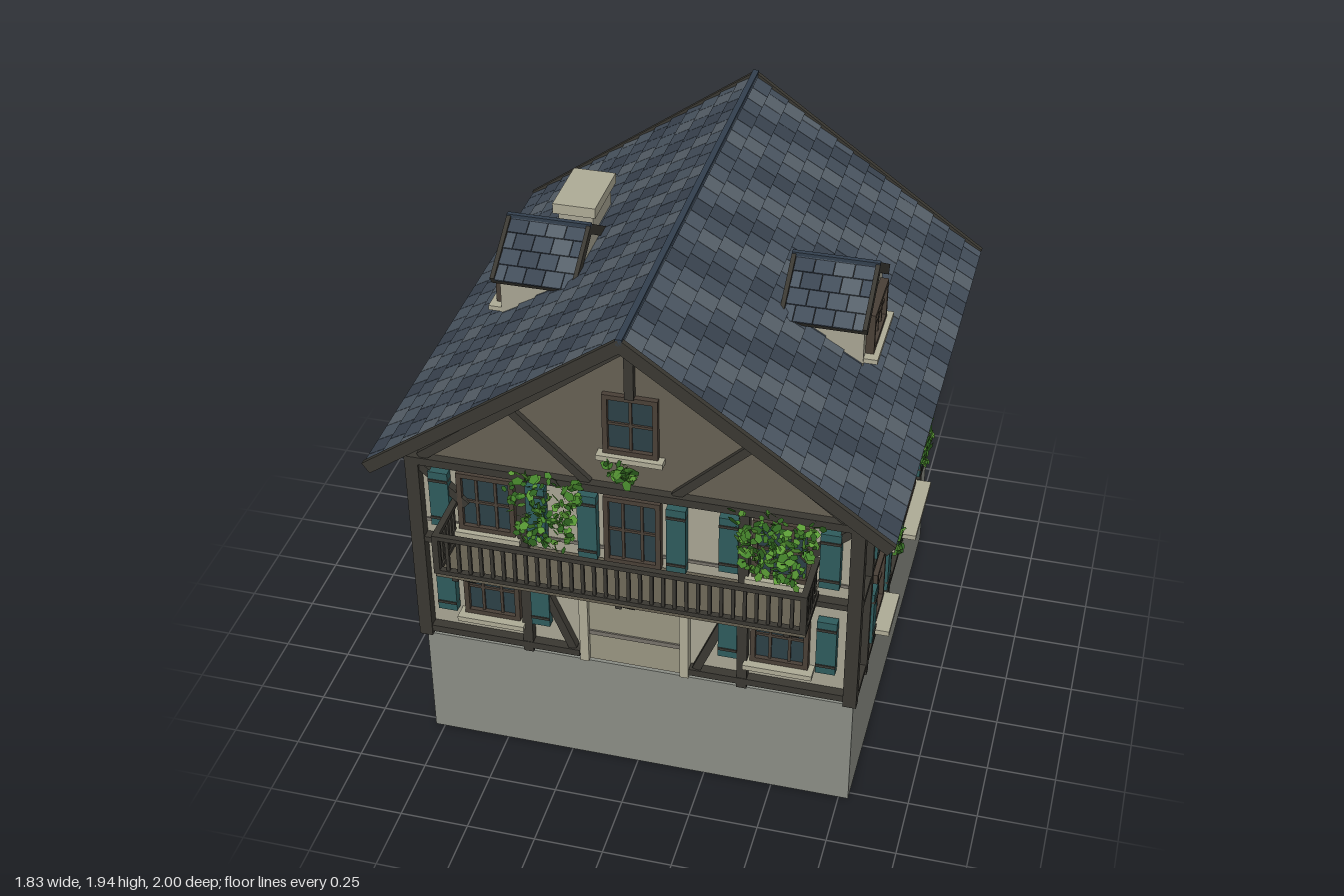
import * as THREE from 'three';
import { mergeGeometries } from 'three/addons/utils/BufferGeometryUtils.js';

const mat = (color, side = THREE.FrontSide) => new THREE.MeshStandardMaterial({ color, side });
const M = {
  stone: mat(0x8b8e86), wall: mat(0xa9a694), trim: mat(0xb0ad98), band: mat(0x77736a),
  timber: mat(0x3a3832), gable: mat(0x676154), floor: mat(0x655f50), door: mat(0x9a9682),
  frame: mat(0x4a4037), glass: mat(0x2c4047), shutter: mat(0x2f5c5d), soffit: mat(0x4b473f),
  ridge: mat(0x33404f),
};
const SHADES = [0x3a4450, 0x424d5a, 0x4b5662, 0x57616a].map((c) => mat(c));
const LEAVES = [0x2f6420, 0x44822a, 0x5a9a35].map((c) => mat(c, THREE.DoubleSide));

let seed = 7;
const rand = () => (seed = (seed * 16807) % 2147483647) / 2147483647;

function add(parent, name, geometry, material, x = 0, y = 0, z = 0) {
  const mesh = new THREE.Mesh(geometry, material);
  mesh.name = name;
  mesh.position.set(x, y, z);
  parent.add(mesh);
  return mesh;
}
function group(parent, name) {
  const g = new THREE.Group();
  g.name = name;
  parent.add(g);
  return g;
}
// Box given by its limits on each axis
const block = (p, name, m, x0, x1, y0, y1, z0, z1) =>
  add(p, name, new THREE.BoxGeometry(x1 - x0, y1 - y0, z1 - z0), m, (x0 + x1) / 2, (y0 + y1) / 2, (z0 + z1) / 2);

// Slanted timber lying on a facade
function brace(p, name, x1, y1, x2, y2, width = 0.03, depth = 0.03) {
  const g = new THREE.BoxGeometry(Math.hypot(x2 - x1, y2 - y1), width, depth);
  add(p, name, g, M.timber, (x1 + x2) / 2, (y1 + y2) / 2, depth / 2).rotation.z = Math.atan2(y2 - y1, x2 - x1);
}
function prism(p, name, points, z0, z1, m) {
  const shape = new THREE.Shape(points.map(([x, y]) => new THREE.Vector2(x, y)));
  add(p, name, new THREE.ExtrudeGeometry(shape, { depth: z1 - z0, bevelEnabled: false }), m, 0, 0, z0);
}

// Facade: local x runs along the wall, local z points outward
function facade(parent, name, angle, distance) {
  const g = group(parent, name);
  g.rotation.y = angle;
  g.position.set(Math.sin(angle) * distance, 0, Math.cos(angle) * distance);
  return g;
}

// Window with glazing bars, sill and optional shutters [x0, x1]
function windowUnit(p, x, y0, y1, w, { cols = 2, sill = 0.08, depth = 0.03, shutters = [] } = {}) {
  const g = group(p, 'window'), h = w / 2, f = 0.018;
  block(g, 'glass', M.glass, x - h + f, x + h - f, y0 + f, y1 - f, 0, depth * 0.45);
  for (const s of [-1, 1]) {
    const e = x + s * (h - f / 2), ey = s > 0 ? y1 - f / 2 : y0 + f / 2;
    block(g, 'windowJamb', M.frame, e - f / 2, e + f / 2, y0, y1, 0, depth);
    block(g, 'windowRail', M.frame, x - h, x + h, ey - f / 2, ey + f / 2, 0, depth);
  }
  for (let i = 1; i < cols; i++) {
    const b = x - h + (w * i) / cols;
    block(g, 'glazingBar', M.frame, b - 0.005, b + 0.005, y0, y1, 0, depth * 0.7);
  }
  const mid = (y0 + y1) / 2;
  block(g, 'glazingBar', M.frame, x - h, x + h, mid - 0.005, mid + 0.005, 0, depth * 0.7);
  if (sill) block(g, 'sill', M.trim, x - h - 0.02, x + h + 0.02, y0 - 0.02, y0, 0, sill);
  for (const [a, b] of shutters) {
    block(g, 'shutter', M.shutter, a, b, y0 + 0.005, y1 - 0.005, 0.005, depth + 0.008);
    for (const y of [y0 + 0.04, y1 - 0.04])
      block(g, 'shutterHinge', M.timber, a, b, y - 0.005, y + 0.005, 0.005, depth + 0.012);
  }
}

// Pitched roof with its ridge along z, staggered shingles and dark verges
function pitchedRoof(parent, name, ridgeY, half, rise, z0, z1, rows, cols, t) {
  const roof = group(parent, name), L = Math.hypot(half, rise), angle = Math.atan2(rise, half);
  for (const s of [1, -1]) {
    const turn = group(roof, 'roofSide'), slope = group(turn, 'roofSlope');
    turn.position.y = ridgeY;
    turn.rotation.y = s > 0 ? 0 : Math.PI;
    slope.rotation.z = -angle;
    const a = s > 0 ? z0 : -z1, b = s > 0 ? z1 : -z0;
    block(slope, 'roofDeck', M.soffit, 0, L - 0.004, -t, -t * 0.35, a + 0.004, b - 0.004);
    const v = t * 0.6;
    block(slope, 'verge', M.timber, 0, L, -t * 1.1, t * 0.3, a, a + v);
    block(slope, 'verge', M.timber, 0, L, -t * 1.1, t * 0.3, b - v, b);
    block(slope, 'eaveBoard', M.timber, L - v * 0.5, L, -t * 1.1, -t * 0.1, a, b);
    // Shingles, merged by shade
    const bins = SHADES.map(() => []), dx = L / rows, dz = (b - a - 2 * v) / cols;
    for (let r = 0; r < rows; r++) for (let c = 0; c <= cols; c++) {
      const lo = Math.max(a + v, a + v + (c - (r % 2) / 2) * dz);
      const hi = Math.min(b - v, a + v + (c + 1 - (r % 2) / 2) * dz);
      if (hi - lo < 0.005) continue;
      const g = new THREE.BoxGeometry(dx * 1.12, t * 0.3, hi - lo - 0.002);
      g.rotateZ(0.09);
      g.translate((r + 0.47) * dx, -t * 0.15, (lo + hi) / 2);
      const wave = 1.5 + 1.3 * Math.sin((c - (r % 2) / 2) * 1.57 + r * 0.8) + (rand() - 0.5) * 1.2;
      bins[Math.min(3, Math.max(0, Math.round(wave)))].push(g);
    }
    bins.forEach((list, i) => list.length && add(slope, 'shingles', mergeGeometries(list), SHADES[i]));
  }
  block(roof, 'ridgeCap', M.ridge, -t * 0.35, t * 0.35, ridgeY - t * 0.4, ridgeY + t * 0.35, z0, z1);
}

// Cluster of small folded leaves inside a box around a centre
function ivy(p, x, y, z, w, h, d, count) {
  const bins = LEAVES.map(() => []);
  for (let i = 0; i < count; i++) {
    const g = new THREE.CircleGeometry(0.008 + rand() * 0.009, 5);
    g.scale(1, 1.35, 1);
    g.rotateX((rand() - 0.5) * 1.8);
    g.rotateY((rand() - 0.5) * 2.2);
    g.rotateZ(rand() * 6.28);
    const k = rand();
    g.translate(x + (rand() - 0.5) * w * (1 - k * 0.45), y + (0.5 - k) * h, z + (rand() - 0.5) * d);
    bins[i % 3].push(g);
  }
  bins.forEach((list, i) => add(p, 'ivyLeaves', mergeGeometries(list), LEAVES[i]));
}

export function createModel() {
  const house = new THREE.Group();
  house.name = 'house';

  // Foundation and walls
  block(house, 'foundation', M.stone, -0.785, 0.785, 0, 0.455, -0.775, 0.78);
  block(house, 'plinth', M.band, -0.76, 0.76, 0.455, 0.48, -0.74, 0.765);
  prism(house, 'walls', [[-0.775, 0.475], [0.775, 0.475], [0.775, 1.345], [0, 1.895], [-0.775, 1.345]], -0.775, 0.775, M.wall);
  block(house, 'floorBand', M.band, -0.78, 0.78, 0.977, 0.99, -0.78, 0.78);

  // Main roof and chimney
  pitchedRoof(house, 'mainRoof', 1.93, 0.908, 0.648, -0.998, 0.912, 14, 22, 0.032);
  block(house, 'chimney', M.wall, -0.535, -0.405, 1.45, 1.72, -0.39, -0.16);
  block(house, 'chimneyCap', M.trim, -0.55, -0.39, 1.72, 1.76, -0.41, -0.14);

  // Front timber frame
  const front = facade(house, 'frontFacade', 0, 0.775);
  block(front, 'tieBeam', M.timber, -0.8, 0.8, 1.245, 1.275, 0, 0.042);
  block(front, 'floorBeam', M.timber, -0.8, 0.8, 0.905, 0.928, 0, 0.036);
  prism(front, 'gablePanel', [[-0.73, 1.27], [0.73, 1.27], [0, 1.84]], 0, 0.01, M.gable);
  block(front, 'kingPost', M.timber, -0.016, 0.016, 1.64, 1.85, 0, 0.034);
  for (const s of [-1, 1]) {
    block(front, 'cornerPost', M.timber, s * 0.776 - 0.024, s * 0.776 + 0.024, 0.475, 1.27, 0, 0.04);
    block(front, 'post', M.timber, s * 0.39 - 0.018, s * 0.39 + 0.018, 0.475, 1.27, 0, 0.034);
    block(front, 'sillBeam', M.timber, s * 0.5 - 0.3, s * 0.5 + 0.3, 0.493, 0.52, 0, 0.036);
    brace(front, 'doorBrace', s * 0.385, 0.91, s * 0.225, 0.52);
    brace(front, 'upperBrace', s * 0.76, 1.24, s * 0.59, 1.09);
    brace(front, 'gableRafter', s * 0.745, 1.275, 0, 1.85, 0.034, 0.036);
    brace(front, 'gableBrace', s * 0.42, 1.525, s * 0.15, 1.27);
    // Front windows
    const out = s > 0 ? [0.65, 0.72] : [-0.72, -0.65], inn = s > 0 ? [0.305, 0.372] : [-0.372, -0.305];
    windowUnit(front, s * 0.52, 0.605, 0.845, 0.205, { cols: 3, sill: 0.06, shutters: [out, inn] });
    windowUnit(front, s * 0.52, 0.985, 1.225, 0.205, { cols: 3, sill: 0.05, shutters: [out, inn] });
  }
  windowUnit(front, 0, 0.945, 1.225, 0.2, { cols: 3, sill: 0, shutters: [[-0.19, -0.122], [0.122, 0.19]] });
  windowUnit(front, 0, 1.41, 1.645, 0.19, { sill: 0.05 });

  // Double door with surround
  block(front, 'door', M.door, -0.17, 0.17, 0.475, 0.885, 0, 0.014);
  block(front, 'doorRail', M.band, -0.17, 0.17, 0.592, 0.61, 0, 0.02);
  block(front, 'doorLintel', M.trim, -0.2, 0.2, 0.88, 0.905, 0, 0.038);
  for (const s of [-1, 1]) block(front, 'doorJamb', M.trim, s * 0.182 - 0.016, s * 0.182 + 0.016, 0.475, 0.9, 0, 0.034);

  // Balcony
  const balcony = group(house, 'balcony');
  block(balcony, 'balconyFloor', M.floor, -0.645, 0.645, 0.915, 0.938, 0.78, 0.99);
  for (const y of [0.935, 1.08]) {
    block(balcony, 'frontRail', M.timber, -0.648, 0.648, y, y + 0.017, 0.978, 1);
    for (const s of [-1, 1]) block(balcony, 'sideRail', M.timber, s * 0.637 - 0.011, s * 0.637 + 0.011, y, y + 0.017, 0.785, 1);
  }
  for (let i = 0; i <= 32; i++) {
    const x = -0.637 + (i * 1.274) / 32, r = i % 32 ? 0.006 : 0.011;
    block(balcony, 'baluster', M.timber, x - r, x + r, 0.935, 1.085, 0.989 - r, 0.989 + r);
  }
  for (const s of [-1, 1]) for (let i = 0; i < 6; i++)
    block(balcony, 'sideBaluster', M.timber, s * 0.637 - 0.006, s * 0.637 + 0.006, 0.935, 1.085, 0.81 + i * 0.03, 0.825 + i * 0.03);
  for (const x of [-0.58, 0, 0.58]) {
    block(balcony, 'joist', M.timber, x - 0.011, x + 0.011, 0.9, 0.918, 0.78, 0.985);
    const strut = add(balcony, 'strut', new THREE.BoxGeometry(0.022, 0.022, 0.215), M.timber, x, 0.84, 0.89);
    strut.rotation.x = -0.75;
  }

  // Side facades and dormers, mirrored
  for (const s of [1, -1]) {
    const side = facade(house, s > 0 ? 'leftFacade' : 'rightFacade', (s * Math.PI) / 2, 0.775);
    const span = (z0, z1) => (s > 0 ? [-z1, -z0] : [z0, z1]);
    for (const [z, r] of [[0.62, 0.015], [0.197, 0.018], [-0.5, 0.02]])
      block(side, 'post', M.timber, -s * z - r, -s * z + r, 0.475, 1.27, 0, 0.028);
    for (const [y0, y1] of [[0.497, 0.52], [0.903, 0.925], [1.245, 1.262]])
      block(side, 'sideBeam', M.timber, ...span(-0.775, 0.81), y0, y1, 0, 0.025);
    for (const [y0, y1] of [[0.605, 0.835], [0.985, 1.21]]) {
      windowUnit(side, -s * 0.43, y0, y1, 0.175, { sill: 0.085, shutters: [span(0.555, 0.618), span(0.26, 0.322)] });
      windowUnit(side, s * 0.193, y0, y1, 0.305, { cols: 4, sill: 0.085, shutters: [span(-0.008, 0.095), span(-0.485, -0.377)] });
    }
    ivy(side, -s * 0.46, 0.95, 0.08, 0.12, 0.08, 0.03, 34);
    ivy(side, s * 0.15, 0.94, 0.08, 0.27, 0.1, 0.03, 70);

    const dormer = facade(house, 'dormer', (s * Math.PI) / 2, 0);
    prism(dormer, 'dormerWalls', [[-0.163, 1.4], [0.163, 1.4], [0.163, 1.655], [0, 1.758], [-0.163, 1.655]], 0.37, 0.655, M.wall);
    pitchedRoof(dormer, 'dormerRoof', 1.775, 0.216, 0.137, 0.362, 0.672, 4, 4, 0.026);
    const face = group(dormer, 'dormerFace');
    face.position.z = 0.655;
    windowUnit(face, 0, 1.488, 1.645, 0.25, { cols: 4, sill: 0 });
    block(face, 'sill', M.trim, -0.16, 0.16, 1.47, 1.488, -0.02, 0.05);
  }

  // Back windows
  const back = facade(house, 'backFacade', Math.PI, 0.775);
  for (const x of [-0.43, 0.43]) for (const y of [0.605, 0.985])
    windowUnit(back, x, y, y + 0.23, 0.19, {
      cols: 3, sill: 0.105, depth: 0.05, shutters: [[x - 0.195, x - 0.11], [x + 0.11, x + 0.195]],
    });
  ivy(back, 0.47, 0.93, 0.1, 0.13, 0.09, 0.04, 34);

  // Climbing plants on the front
  ivy(house, -0.29, 1.16, 0.86, 0.28, 0.28, 0.07, 190);
  ivy(house, 0.51, 1.16, 0.86, 0.32, 0.27, 0.07, 210);
  ivy(house, -0.03, 1.355, 0.82, 0.14, 0.1, 0.03, 36);
  return house;
}
